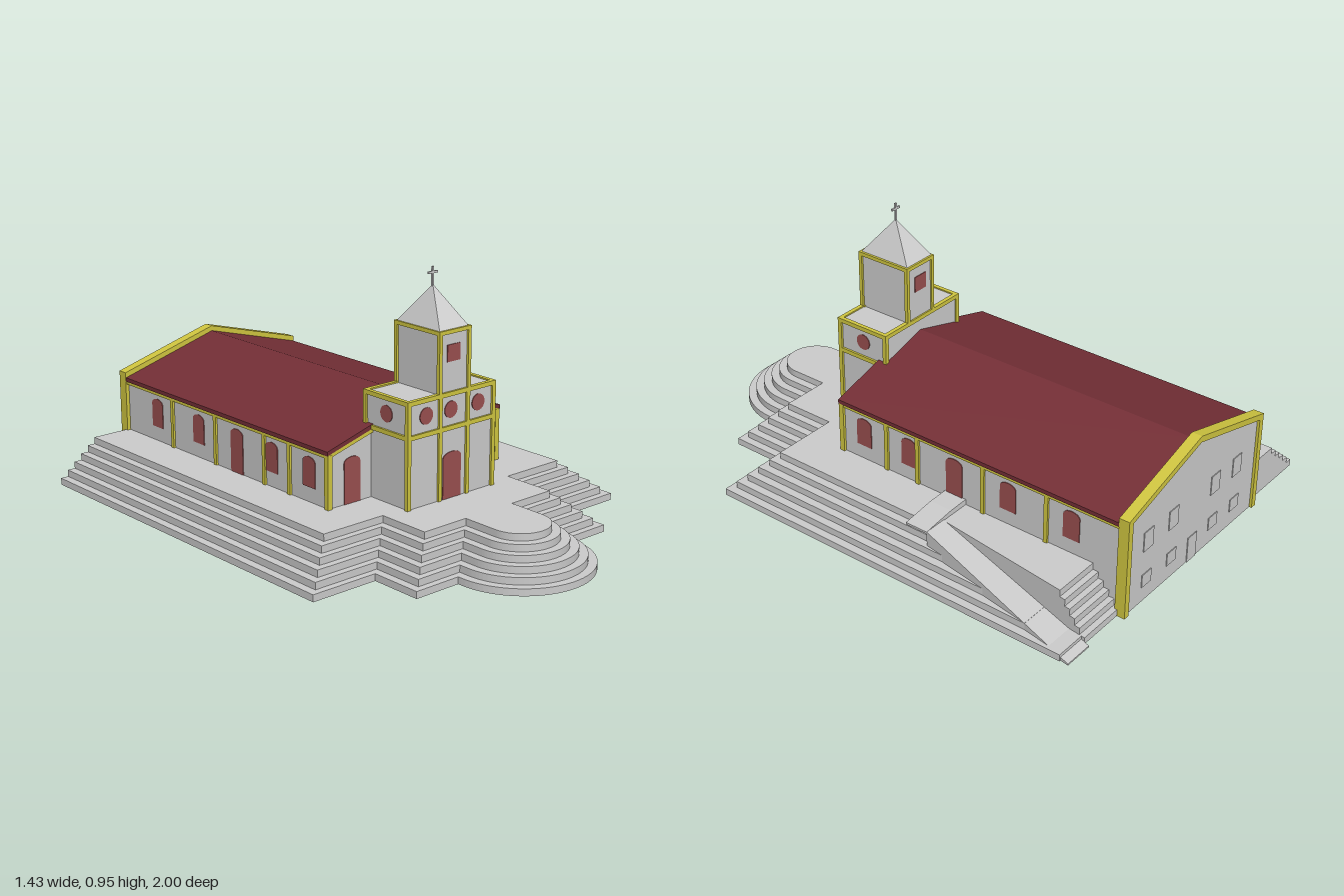
import * as THREE from 'three';
import { ConvexGeometry } from 'three/addons/geometries/ConvexGeometry.js';

const grey = new THREE.MeshStandardMaterial({ color: 0xcccccc, flatShading: true });
const yellow = new THREE.MeshStandardMaterial({ color: 0xd0c640, flatShading: true });
const roofRed = new THREE.MeshStandardMaterial({ color: 0x742f36, flatShading: true });
const doorRed = new THREE.MeshStandardMaterial({ color: 0x994f4f, flatShading: true });

const BASE = 0.155; // height of the terrace

export function createModel() {
  const model = new THREE.Group();
  const add = (name, geometry, material, parent = model) => {
    const mesh = new THREE.Mesh(geometry, material);
    mesh.name = name;
    parent.add(mesh);
    return mesh;
  };
  const box = (name, x0, x1, y0, y1, z0, z1, material) => {
    const g = new THREE.BoxGeometry(x1 - x0, y1 - y0, z1 - z0);
    g.translate((x0 + x1) / 2, (y0 + y1) / 2, (z0 + z1) / 2);
    return add(name, g, material);
  };
  const prism = (name, points, z0, z1, material) => {
    const shape = new THREE.Shape(points.map(p => new THREE.Vector2(...p)));
    const g = new THREE.ExtrudeGeometry(shape, { depth: z1 - z0, bevelEnabled: false });
    return add(name, g.translate(0, 0, z0), material);
  };
  // Thin panel on a wall; angle turns it from facing +z
  const panel = (name, shape, x, y, z, angle, material = doorRed) => {
    const g = new THREE.ExtrudeGeometry(shape, { depth: 0.006, bevelEnabled: false, curveSegments: 12 });
    const mesh = add(name, g.translate(0, 0, -0.003), material);
    mesh.position.set(x, y, z);
    mesh.rotation.y = angle;
  };
  const arch = (w, h) => {
    const s = new THREE.Shape(), rise = 0.02;
    s.moveTo(-w / 2, 0).lineTo(w / 2, 0).lineTo(w / 2, h - rise);
    s.absellipse(0, h - rise, w / 2, rise, 0, Math.PI, false);
    return s;
  };
  const rect = (w, h) => new THREE.Shape([[-w / 2, 0], [w / 2, 0], [w / 2, h], [-w / 2, h]]
    .map(p => new THREE.Vector2(...p)));
  const disc = new THREE.Shape().absarc(0, 0, 0.03, 0, Math.PI * 2, false);

  // Stepped terrace, cut along the ramp on its left rear side
  const steps = 6, h = BASE / steps;
  const rampInner = t => 0.52 + 0.08 * t, rampZ = t => -0.33 - 0.66 * t;
  for (let k = 0; k < steps; k++) {
    const side = 0.715 - 0.031 * k, mid = 0.45 - 0.03 * k, r = 0.265 - 0.031 * k;
    const zSide = 0.52 - 0.026 * k, zMid = 0.72 - 0.025 * k, zBack = -0.97 + 0.022 * k;
    const t = Math.min(0.95, Math.max(0, (side - 0.61) / 0.105));
    const s = new THREE.Shape();
    s.moveTo(-side, 0.97).lineTo(-side, -zSide).lineTo(-mid, -zSide).lineTo(-mid, -zMid);
    s.lineTo(-r, -zMid).lineTo(-r, -0.735);
    s.absarc(0, -0.735, r, Math.PI, Math.PI * 2, false);
    s.lineTo(r, -zMid).lineTo(mid, -zMid).lineTo(mid, -zSide).lineTo(side, -zSide);
    s.lineTo(side, -rampZ(t)).lineTo(rampInner(t), -rampZ(t));
    s.lineTo(rampInner((-0.33 - zBack) / 0.66), -zBack).lineTo(0.4, -zBack).lineTo(0.4, 0.97);
    const g = new THREE.ExtrudeGeometry(s, { depth: h, bevelEnabled: false, curveSegments: 24 });
    add('terraceStep', g.rotateX(-Math.PI / 2).translate(0, k * h, 0), grey);
  }

  // Side ramp and the landing that joins it to the side door
  const hull = (name, pts) => add(name, new ConvexGeometry(pts.map(p => new THREE.Vector3(...p))), grey);
  hull('ramp', [
    [0.52, 0, -0.33], [0.61, 0, -0.33], [0.6, 0, -0.99], [0.715, 0, -0.99],
    [0.52, 0.158, -0.33], [0.61, 0.158, -0.33], [0.6, 0.006, -0.99], [0.715, 0.006, -0.99]]);
  hull('doorLanding', [-0.24, -0.33].flatMap(z => [
    [0.4, 0.15, z], [0.4, 0.176, z], [0.48, 0.174, z], [0.61, 0.158, z], [0.61, 0.15, z]]));

  // Nave walls, roof and rear gable
  prism('naveWalls', [[-0.4, BASE], [0.4, BASE], [0.4, 0.35], [0, 0.46], [-0.4, 0.35]], -0.97, 0.225, grey);
  prism('roof', [[-0.412, 0.35], [0, 0.462], [0.412, 0.35], [0.412, 0.365], [0, 0.48], [-0.412, 0.365]],
    -0.965, 0.235, roofRed);
  prism('rearWall', [[-0.4, 0], [0.4, 0], [0.4, 0.375], [0, 0.485], [-0.4, 0.375]], -0.99, -0.965, grey);
  prism('rearCoping', [[-0.414, 0.362], [0, 0.476], [0.414, 0.362], [0.414, 0.385], [0, 0.5], [-0.414, 0.385]],
    -1, -0.96, yellow);
  prism('frontGableTrim', [[-0.41, 0.337], [0, 0.447], [0.41, 0.337], [0.41, 0.35], [0, 0.462], [-0.41, 0.35]],
    0.215, 0.234, yellow);

  for (const s of [-1, 1]) {
    const sideBox = (name, a, b, ...rest) => box(name, Math.min(a * s, b * s), Math.max(a * s, b * s), ...rest);
    sideBox('rearPillar', 0.39, 0.414, 0, 0.38, -1, -0.96, yellow);
    sideBox('frontPillar', 0.39, 0.41, BASE, 0.35, 0.215, 0.235, yellow);
    sideBox('eaveTrim', 0.395, 0.408, 0.338, 0.355, -0.965, 0.232, yellow);
    for (const z of [0.02, -0.12, -0.405, -0.67])
      sideBox('sidePilaster', 0.395, 0.408, BASE, 0.345, z - 0.008, z + 0.008, yellow);
    for (const z of [0.125, -0.08, -0.51, -0.77])
      panel('sideWindow', arch(0.066, 0.11), s * 0.4, 0.21, z, s * Math.PI / 2);
    panel('sideDoor', arch(0.07, 0.165), s * 0.4, BASE, -0.28, s * Math.PI / 2);
    panel('aisleDoor', arch(0.072, 0.168), s * 0.295, BASE, 0.225, 0);
  }

  // Rear windows and door
  for (const x of [-0.27, -0.13, 0.13, 0.28]) {
    panel('rearUpperWindow', rect(0.055, 0.075), x, 0.205, -0.99, Math.PI, grey);
    panel('rearLowerWindow', rect(0.055, 0.05), x, 0.06, -0.99, Math.PI, grey);
  }
  panel('rearDoor', rect(0.055, 0.1), 0, 0, -0.99, Math.PI, grey);

  // Square framing for a tower block: corner posts and horizontal rings
  const frame = (name, x0, x1, y0, y1, z0, z1, w, rings) => {
    for (const x of [x0, x1 - w]) for (const z of [z0, z1 - w])
      box(name + 'Post', x, x + w, y0, y1, z, z + w, yellow);
    for (const y of rings) {
      for (const x of [x0, x1 - w]) box(name + 'SideBand', x, x + w, y, y + w, z0, z1, yellow);
      for (const z of [z0, z1 - w]) box(name + 'Band', x0, x1, y, y + w, z, z + w, yellow);
    }
  };

  // Entrance block
  box('entranceBlock', -0.207, 0.192, BASE, 0.535, 0.198, 0.412, grey);
  frame('entrance', -0.215, 0.2, BASE, 0.54, 0.192, 0.42, 0.016, [0.403, 0.524]);
  for (const x of [-0.07, 0.06]) box('entrancePilaster', x, x + 0.015, BASE, 0.54, 0.4, 0.42, yellow);
  panel('mainDoor', arch(0.085, 0.168), -0.003, BASE, 0.412, 0);
  for (const x of [-0.125, -0.01, 0.12]) panel('roundWindow', disc, x, 0.475, 0.412, 0);
  panel('roundWindow', disc, 0.192, 0.475, 0.305, Math.PI / 2);
  panel('roundWindow', disc, -0.207, 0.475, 0.305, -Math.PI / 2);

  // Bell tower, spire and cross
  box('bellTower', -0.064, 0.069, 0.53, 0.755, 0.198, 0.412, grey);
  frame('bellTower', -0.072, 0.077, 0.535, 0.758, 0.192, 0.42, 0.014, [0.744]);
  panel('bellWindow', rect(0.06, 0.06), 0, 0.645, 0.412, 0);
  panel('bellWindow', rect(0.06, 0.06), 0, 0.645, 0.198, Math.PI);
  const spire = new THREE.ConeGeometry(Math.SQRT1_2, 0.137, 4).rotateY(Math.PI / 4);
  add('spire', spire.scale(0.136, 1, 0.216).translate(0.001, 0.8245, 0.306), grey);
  box('crossUpright', -0.004, 0.004, 0.88, 0.955, 0.303, 0.309, grey);
  box('crossArm', -0.021, 0.021, 0.93, 0.938, 0.303, 0.309, grey);

  return model;
}
